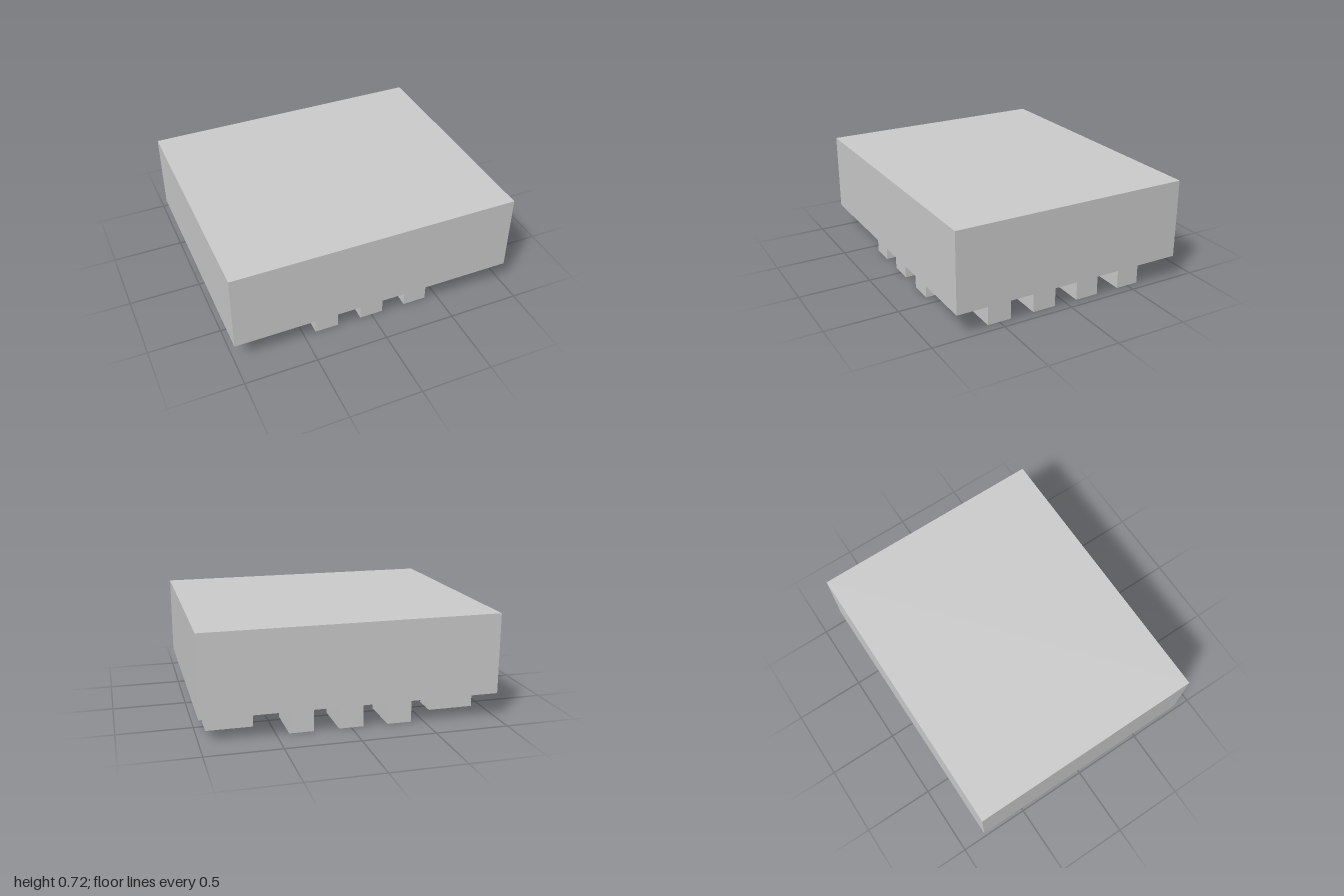
import * as THREE from 'three';

export function createModel() {
  const group = new THREE.Group();
  const material = new THREE.MeshStandardMaterial({ color: 0xcccccc, flatShading: true });

  function box(name, w, h, d, x, y, z) {
    const mesh = new THREE.Mesh(new THREE.BoxGeometry(w, h, d), material);
    mesh.name = name;
    mesh.position.set(x, y, z);
    group.add(mesh);
  }

  const bodyBottom = 0.172, bodyTop = 0.723;
  const padWidth = 0.165, padLength = 0.315, pitch = 0.333;

  // Chip package body
  box('body', 2, bodyTop - bodyBottom, 1.664, 0, (bodyBottom + bodyTop) / 2, 0);

  // Contact pads: four along each side, three along the front and the back
  for (const side of [-1, 1]) {
    for (let i = 0; i < 4; i++) {
      box('sidePad', padLength, bodyBottom, padWidth, side * 0.775, bodyBottom / 2, (i - 1.5) * pitch);
    }
    for (let i = -1; i <= 1; i++) {
      box(side > 0 ? 'frontPad' : 'backPad', padWidth, bodyBottom, padLength, i * pitch, bodyBottom / 2, side * 0.606);
    }
  }
  return group;
}
